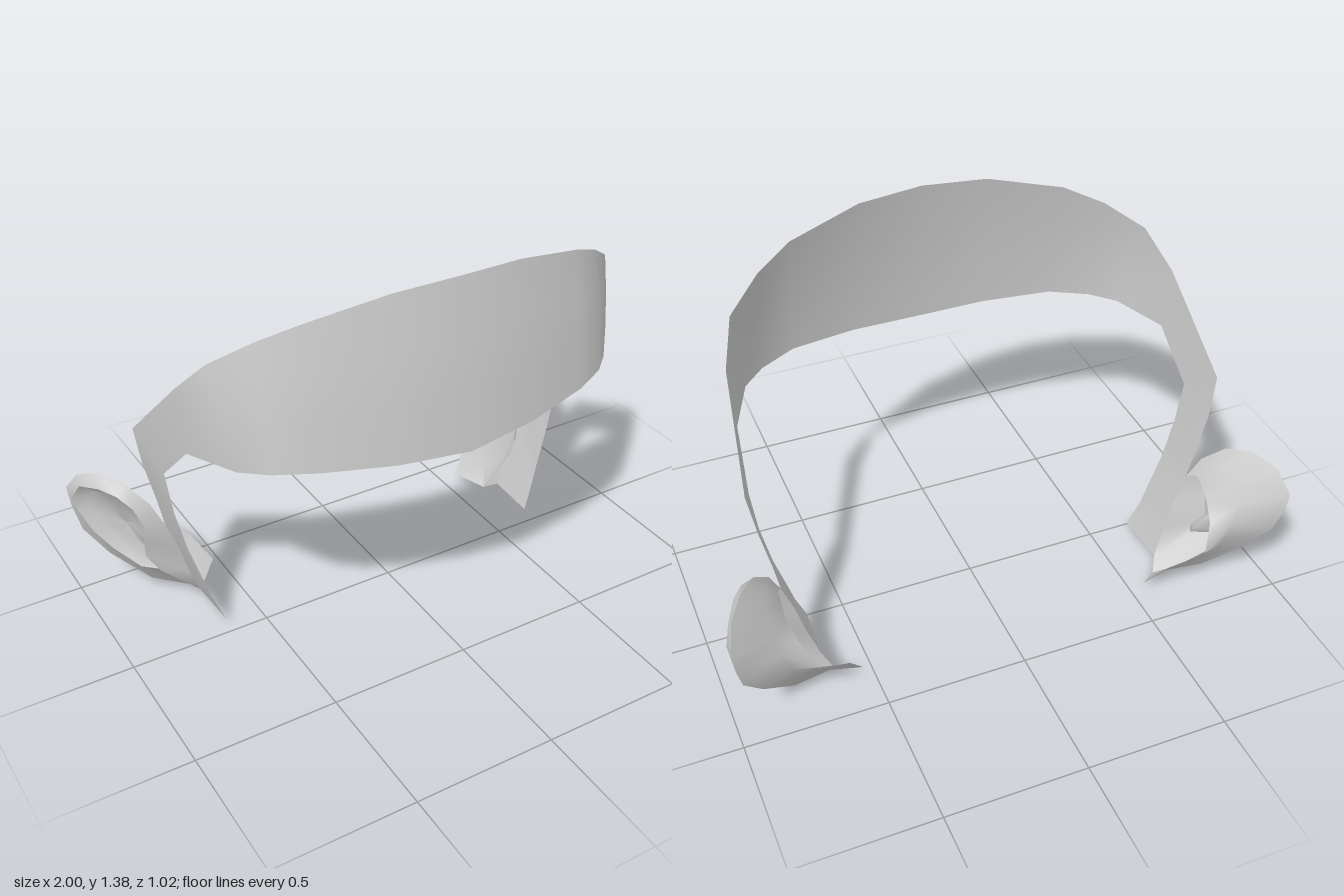
import * as THREE from 'three';

const material = new THREE.MeshStandardMaterial({ color: 0xcccccc, side: THREE.DoubleSide });

// Smooth sheet through rows of [x, y, z] points; closed joins each row's ends
function loft(name, rows, closed = false) {
  const n = rows[0].length;
  const index = [];
  for (let r = 0; r < rows.length - 1; r++) {
    for (let i = 0; i < (closed ? n : n - 1); i++) {
      const j = (i + 1) % n;
      const a = r * n + i, b = r * n + j, c = a + n, d = b + n;
      index.push(a, c, b, b, c, d);
    }
  }
  const g = new THREE.BufferGeometry();
  g.setAttribute('position', new THREE.Float32BufferAttribute(rows.flat(2), 3));
  g.setIndex(index);
  g.computeVertexNormals();
  const mesh = new THREE.Mesh(g, material);
  mesh.name = name;
  return mesh;
}

const mix = (p, q, t) => p.map((v, k) => v + (q[k] - v) * t);
const flip = ([x, y, z]) => [-x, y, z];

// Lower/front edge and upper/back edge, from the forehead centre to the sideburn tip
const lowerEdge = [
  [0, 0.82, 0.51], [0.25, 0.838, 0.485], [0.49, 0.857, 0.425], [0.62, 0.855, 0.355],
  [0.70, 0.85, 0.28], [0.78, 0.838, 0.09], [0.80, 0.68, -0.07], [0.78, 0.52, -0.065],
  [0.745, 0.36, -0.06], [0.70, 0.21, -0.05], [0.68, 0.14, -0.045], [0.66, 0.09, -0.037],
  [0.64, 0.04, -0.03],
];
const upperEdge = [
  [0, 1.39, 0.425], [0.23, 1.38, 0.405], [0.49, 1.325, 0.345], [0.62, 1.27, 0.28],
  [0.74, 1.19, 0.195], [0.795, 1.07, 0.08], [0.84, 0.79, -0.21], [0.815, 0.64, -0.225],
  [0.78, 0.48, -0.22], [0.76, 0.37, -0.21], [0.72, 0.26, -0.21], [0.69, 0.15, -0.215],
  [0.65, 0.04, -0.23],
];

// Ear outline, clockwise from where it leaves the sideburn
const outerRim = [
  [0.76, 0.37, -0.21], [0.80, 0.46, -0.235], [0.86, 0.53, -0.29], [0.92, 0.555, -0.37],
  [0.975, 0.52, -0.45], [1.0, 0.44, -0.51], [0.99, 0.36, -0.505], [0.97, 0.27, -0.48],
  [0.90, 0.17, -0.43], [0.78, 0.06, -0.355], [0.62, 0.005, -0.28], [0.65, 0.04, -0.23],
  [0.69, 0.15, -0.215], [0.72, 0.26, -0.21],
];
// Edge of the ear opening, point for point with the outline
const innerRim = [
  [0.83, 0.38, -0.235], [0.86, 0.455, -0.245], [0.90, 0.50, -0.28], [0.94, 0.51, -0.34],
  [0.98, 0.49, -0.42], [1.0, 0.43, -0.455], [0.985, 0.37, -0.45], [0.95, 0.29, -0.42],
  [0.90, 0.22, -0.385], [0.83, 0.16, -0.31], [0.77, 0.15, -0.27], [0.78, 0.16, -0.25],
  [0.82, 0.22, -0.28], [0.83, 0.30, -0.25],
];
// Hollow behind the ear and the flared edge that meets the head
const backHollow = [
  [0.76, 0.37, -0.21], [0.80, 0.44, -0.25], [0.83, 0.48, -0.29], [0.84, 0.49, -0.33],
  [0.85, 0.44, -0.39], [0.85, 0.38, -0.43], [0.83, 0.31, -0.44], [0.80, 0.22, -0.43],
  [0.74, 0.14, -0.39], [0.66, 0.07, -0.34], [0.62, 0.005, -0.28],
];
const backEdge = [
  [0.76, 0.37, -0.21], [0.77, 0.39, -0.23], [0.78, 0.40, -0.25], [0.78, 0.39, -0.28],
  [0.78, 0.35, -0.33], [0.76, 0.30, -0.40], [0.71, 0.23, -0.465], [0.65, 0.19, -0.44],
  [0.60, 0.15, -0.41], [0.54, 0.05, -0.355], [0.62, 0.005, -0.28],
];

function createEar(side) {
  const ear = new THREE.Group();
  ear.name = side > 0 ? 'leftEar' : 'rightEar';
  const place = (rows) => (side > 0 ? rows : rows.map((row) => row.map(flip)));
  const bowl = [0.85, 0.33, -0.36];
  const shrink = (t, dx) => innerRim.map((p) => {
    const [x, y, z] = mix(p, bowl, t);
    return [x + dx, y, z];
  });

  ear.add(loft('earRim', place([outerRim, innerRim]), true));
  // Bowl drops inward from the opening
  ear.add(loft('earBowl', place([innerRim, shrink(0.2, -0.02), shrink(0.6, -0.01), shrink(1, 0)]), true));
  ear.add(loft('earBack', place([outerRim.slice(0, 11), backHollow, backEdge])));
  return ear;
}

export function createModel() {
  const model = new THREE.Group();
  model.name = 'headbandWithEars';

  // Forehead band and sideburns as one sheet, slightly bulged at the forehead
  const rows = [0, 1 / 3, 2 / 3, 1].map((t) => {
    const half = lowerEdge.map((p, i) => {
      const [x, y, z] = mix(p, upperEdge[i], t);
      return [x, y, z + (i < 5 ? 0.035 * t * (1 - t) : 0)];
    });
    return [...half.slice(1).reverse().map(flip), ...half];
  });
  model.add(loft('foreheadBand', rows));

  for (const side of [1, -1]) model.add(createEar(side));
  return model;
}
